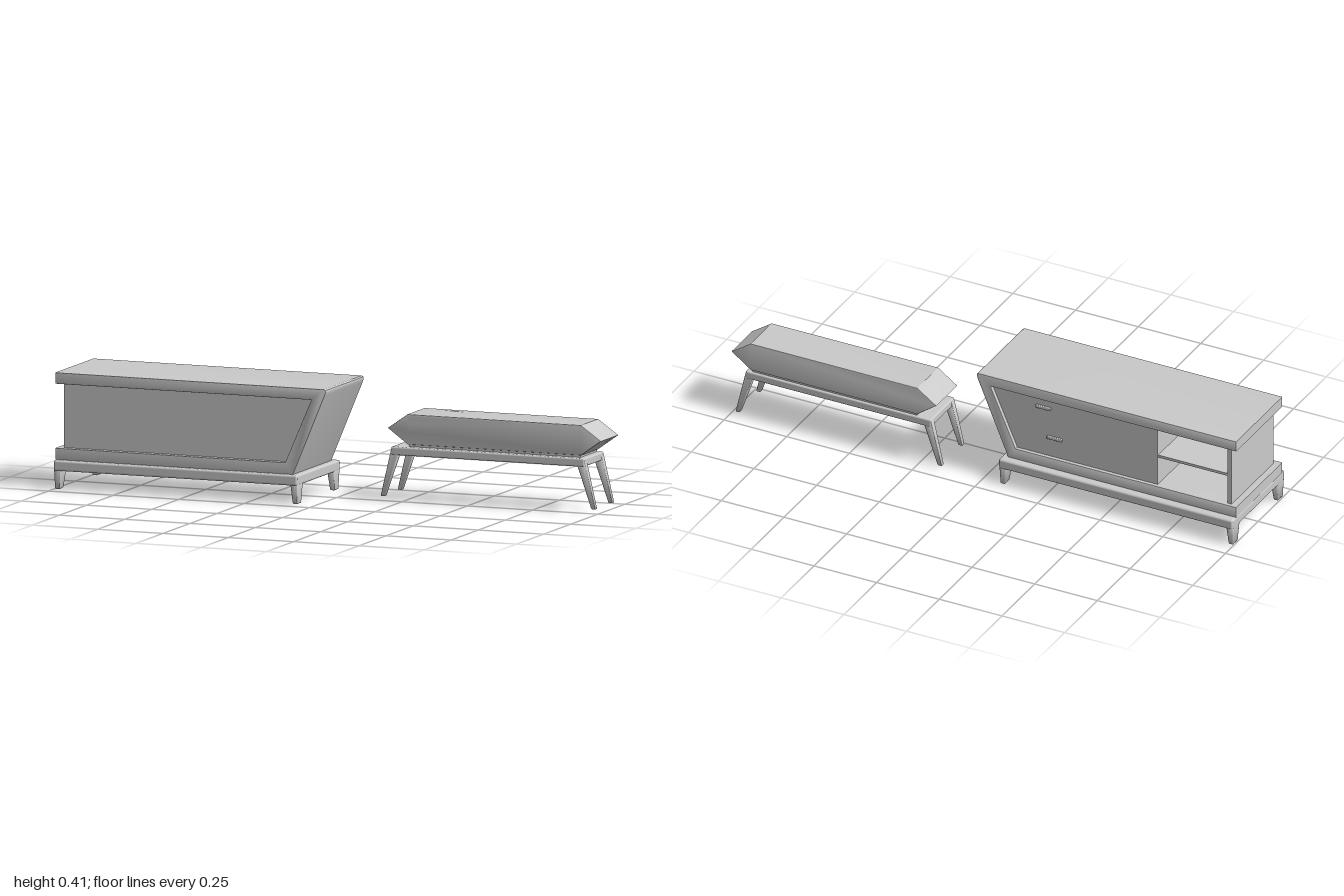
import * as THREE from 'three';
import { RoundedBoxGeometry } from 'three/addons/geometries/RoundedBoxGeometry.js';
import { toCreasedNormals } from 'three/addons/utils/BufferGeometryUtils.js';

const grey = new THREE.MeshStandardMaterial({ color: 0xcccccc, side: THREE.DoubleSide });

function add(parent, name, geometry) {
  const mesh = new THREE.Mesh(geometry, grey);
  mesh.name = name;
  parent.add(mesh);
  return mesh;
}

// Box given by its limits on each axis; r > 0 rounds the edges
function block(parent, name, [x0, x1], [y0, y1], [z0, z1], r = 0) {
  const size = [x1 - x0, y1 - y0, z1 - z0];
  const g = r ? new RoundedBoxGeometry(...size, 3, r) : new THREE.BoxGeometry(...size);
  g.translate((x0 + x1) / 2, (y0 + y1) / 2, (z0 + z1) / 2);
  return add(parent, name, g);
}

// Front profile extruded from z0 to z1, with slightly eased edges
function prism(parent, name, points, [z0, z1], hole, bevel = 0) {
  const shape = new THREE.Shape(points.map(p => new THREE.Vector2(...p)));
  if (hole) shape.holes.push(new THREE.Path(hole.map(p => new THREE.Vector2(...p))));
  const g = new THREE.ExtrudeGeometry(shape, {
    depth: z1 - z0 - 2 * bevel, bevelEnabled: bevel > 0,
    bevelSize: bevel, bevelThickness: bevel, bevelOffset: -bevel, bevelSegments: 2
  });
  g.translate(0, 0, z0 + bevel);
  return add(parent, name, toCreasedNormals(g, 0.5));
}

// Leg tapering from a top to a foot rectangle; each is { x: [min, max], y, z: [min, max] }
function leg(parent, name, top, foot, r) {
  const w = top.x[1] - top.x[0], d = top.z[1] - top.z[0], h = top.y - foot.y;
  const g = new RoundedBoxGeometry(w, h, d, 3, r);
  const p = g.attributes.position;
  const lerp = THREE.MathUtils.lerp;
  for (let i = 0; i < p.count; i++) {
    const t = p.getY(i) / h + 0.5, u = p.getX(i) / w + 0.5, v = p.getZ(i) / d + 0.5;
    p.setXYZ(i,
      lerp(lerp(foot.x[0], foot.x[1], u), lerp(top.x[0], top.x[1], u), t),
      lerp(foot.y, top.y, t),
      lerp(lerp(foot.z[0], foot.z[1], v), lerp(top.z[0], top.z[1], v), t));
  }
  add(parent, name, toCreasedNormals(g, 0.9));
}

// Four legs mirrored about the centre (cx, cz) from one +x, +z leg
function fourLegs(parent, name, cx, cz, top, foot, r) {
  const flip = (range, c, s) => range.map(v => c + s * v).sort((a, b) => a - b);
  for (const sx of [1, -1]) for (const sz of [1, -1]) {
    const place = o => ({ x: flip(o.x, cx, sx), y: o.y, z: flip(o.z, cz, sz) });
    leg(parent, name, place(top), place(foot), r);
  }
}

function createDesk() {
  const desk = new THREE.Group();
  desk.name = 'desk';

  // Base slab and legs
  block(desk, 'deskBase', [-1, -0.067], [0.066, 0.104], [-0.197, 0.205], 0.008);
  fourLegs(desk, 'deskLeg', -0.5335, 0.004,
    { x: [0.436, 0.4665], y: 0.1, z: [0.136, 0.201] },
    { x: [0.446, 0.464], y: 0, z: [0.154, 0.191] }, 0.006);

  // Wraparound shell: bottom, slanted side and top
  prism(desk, 'deskShell', [
    [-1, 0.103], [-0.09, 0.103], [0.031, 0.392], [0.035, 0.404], [0.034, 0.411], [0.028, 0.415],
    [-1, 0.415], [-1, 0.375], [-0.02, 0.375], [-0.12, 0.145], [-1, 0.145]
  ], [-0.168, 0.186], null, 0.002);

  // Drawer block with slanted end, then the open shelf bay
  prism(desk, 'drawerBlock',
    [[-0.68, 0.144], [-0.12, 0.144], [-0.02, 0.376], [-0.68, 0.376]], [-0.154, 0.164]);
  block(desk, 'frontPanel', [-0.97, -0.68], [0.144, 0.376], [0.15, 0.164]);
  block(desk, 'endPanel', [-0.975, -0.958], [0.144, 0.376], [-0.154, 0.164]);
  block(desk, 'shelf', [-0.96, -0.68], [0.254, 0.264], [-0.15, 0.152]);

  // Drawer pulls
  for (const [x, y] of [[-0.225, 0.338], [-0.27, 0.222]])
    block(desk, 'deskHandle', [x - 0.03, x + 0.03], [y - 0.006, y + 0.006], [-0.162, -0.15], 0.003);
  return desk;
}

function createBench() {
  const bench = new THREE.Group();
  bench.name = 'lowCabinet';
  const cx = 0.588, z0 = -0.199, z1 = -0.037;

  // Stand
  block(bench, 'standFrame', [0.2, 0.94], [0.162, 0.192], [-0.202, -0.019], 0.006);
  fourLegs(bench, 'standLeg', 0.57, -0.1105,
    { x: [0.335, 0.37], y: 0.186, z: [0.066, 0.0905] },
    { x: [0.395, 0.412], y: 0.012, z: [0.071, 0.087] }, 0.004);

  // Six-sided shell, open at the back, with a solid front layer
  const hex = [[0.18, 0.255], [0.256, 0.2], [0.92, 0.2], [0.997, 0.255], [0.92, 0.308], [0.256, 0.308]];
  const hole = [[0.258, 0.207], [0.258, 0.301], [0.918, 0.301], [0.918, 0.207]];
  prism(bench, 'cabinetShell', hex, [z0, z1], hole, 0.003);
  block(bench, 'cabinetFloor', [0.26, 0.916], [0.19, 0.202], [z0 + 0.006, z1 - 0.006]);
  block(bench, 'cabinetFront', [0.257, 0.919], [0.206, 0.302], [z1 - 0.02, z1]);

  // Three drawers, their dividers and pulls
  for (const i of [-1, 0, 1]) {
    const x = cx + i * 0.22;
    block(bench, 'drawer', [x - 0.107, x + 0.107], [0.207, 0.301], [z0 + 0.012, z1 - 0.015]);
    block(bench, 'drawerHandle', [x - 0.033, x + 0.033], [0.249, 0.261], [z0 + 0.004, z0 + 0.014], 0.003);
  }
  for (const s of [-1, 1])
    block(bench, 'divider', [cx + s * 0.11 - 0.004, cx + s * 0.11 + 0.004], [0.206, 0.302], [z0 + 0.003, z1 - 0.015]);
  return bench;
}

export function createModel() {
  const model = new THREE.Group();
  model.name = 'deskAndCabinet';
  model.add(createDesk(), createBench());
  return model;
}
